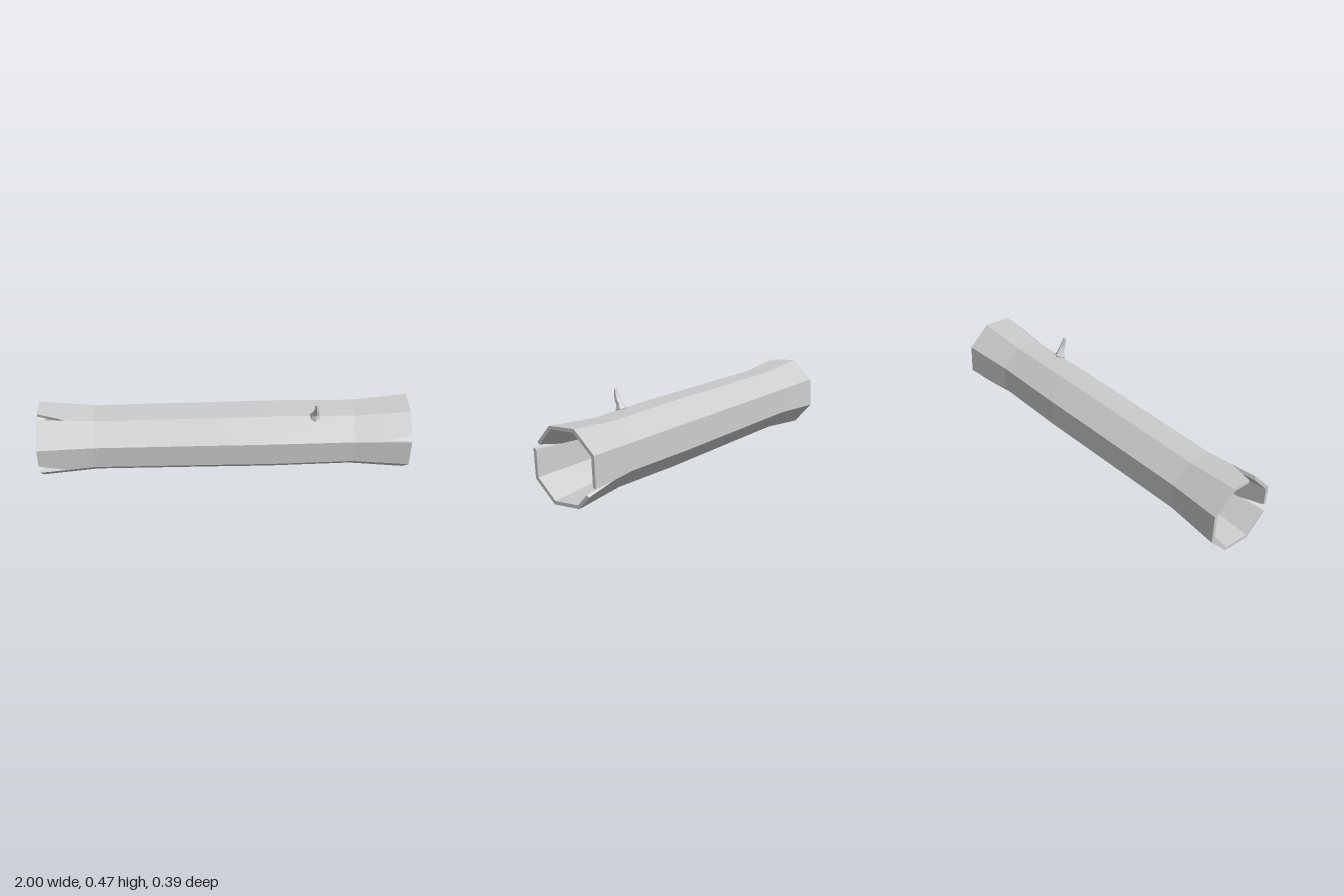
import * as THREE from 'three';

const CENTRE_Y = 0.199;
// Corners of the eight-sided end ring, as [z, y]
const RING = [[0.088, 0.387], [-0.069, 0.397], [-0.19, 0.29], [-0.197, 0.13],
  [-0.09, 0.011], [0.07, 0.001], [0.189, 0.108], [0.198, 0.262]];
// Stations along the trunk: [x, outer scale, inner scale]
const STATIONS = [[-1, 1, 0.91], [-0.85, 0.935, 0.83], [-0.7, 0.87, 0.755], [0, 0.89, 0.775],
  [0.25, 0.9, 0.785], [0.7, 0.87, 0.755], [0.85, 0.935, 0.83], [1, 1, 0.91]];
// Splits in the ends: the side that starts at a corner is cut back by a fraction
const SPLITS = [{ side: 0, station: 0, cut: 0.3 }, { side: 6, station: 0, cut: 0.3 },
  { side: 7, station: 7, cut: 0.25 }, { side: 3, station: 7, cut: 0.42 }];

function meshFromQuads(quads, name, material) {
  const pos = [];
  for (const [a, b, c, d] of quads) pos.push(...a, ...b, ...c, ...a, ...c, ...d);
  const geometry = new THREE.BufferGeometry();
  geometry.setAttribute('position', new THREE.Float32BufferAttribute(pos, 3));
  geometry.computeVertexNormals();
  const mesh = new THREE.Mesh(geometry, material);
  mesh.name = name;
  return mesh;
}

// Point on one side of the trunk; t runs from its first corner to the next
function trunkPoint(side, t, station, inner) {
  const a = RING[side], b = RING[(side + 1) % 8];
  const [x, outerScale, innerScale] = STATIONS[station];
  const s = inner ? innerScale : outerScale;
  return [x, CENTRE_Y + (a[1] + (b[1] - a[1]) * t - CENTRE_Y) * s, (a[0] + (b[0] - a[0]) * t) * s];
}

function buildTrunk(material) {
  const quads = [];
  const last = STATIONS.length - 1;
  for (let side = 0; side < 8; side++) {
    const start = (k) => SPLITS.find((s) => s.side === side && s.station === k)?.cut ?? 0;
    const O = (k, end) => trunkPoint(side, end ? 1 : start(k), k, false);
    const I = (k, end) => trunkPoint(side, end ? 1 : start(k), k, true);
    // Outer bark and hollow inside
    for (let k = 0; k < last; k++) {
      quads.push([O(k, 0), O(k + 1, 0), O(k + 1, 1), O(k, 1)]);
      quads.push([I(k, 0), I(k, 1), I(k + 1, 1), I(k + 1, 0)]);
    }
    // End rims
    quads.push([O(last, 0), I(last, 0), I(last, 1), O(last, 1)]);
    quads.push([O(0, 0), O(0, 1), I(0, 1), I(0, 0)]);
    // Walls on both sides of each split
    for (const split of SPLITS) {
      const k = split.station === 0 ? 0 : last - 1;
      if (split.side === side) quads.push([O(k, 0), I(k, 0), I(k + 1, 0), O(k + 1, 0)]);
      if (split.side === (side + 1) % 8) quads.push([O(k, 1), O(k + 1, 1), I(k + 1, 1), I(k, 1)]);
    }
  }
  return meshFromQuads(quads, 'hollowTrunk', material);
}

// Small bent twig: tapered six-sided rings, [x, y, z, radius]
function buildTwig(material) {
  const path = [[0.488, 0.328, 0.064, 0.011], [0.487, 0.366, 0.082, 0.03], [0.488, 0.388, 0.088, 0.019],
    [0.491, 0.416, 0.103, 0.014], [0.488, 0.446, 0.113, 0.011], [0.486, 0.467, 0.117, 0.008]];
  const n = 6;
  const point = (k, j) => {
    const [x, y, z, r] = path[k];
    const a = (j / n) * Math.PI * 2;
    return [x + Math.sin(a) * r, y - Math.cos(a) * r * 0.35, z + Math.cos(a) * r];
  };
  const quads = [];
  for (let j = 0; j < n; j++) {
    for (let k = 0; k < path.length - 1; k++) {
      quads.push([point(k, j), point(k, j + 1), point(k + 1, j + 1), point(k + 1, j)]);
    }
    // Caps
    const tip = path[path.length - 1].slice(0, 3), root = path[0].slice(0, 3);
    const e = path.length - 1;
    quads.push([tip, point(e, j), point(e, j + 1), tip], [root, point(0, j + 1), point(0, j), root]);
  }
  return meshFromQuads(quads, 'twig', material);
}

export function createModel() {
  const material = new THREE.MeshStandardMaterial({ color: 0xcccccc, flatShading: true });
  const group = new THREE.Group();
  group.name = 'hollowLog';
  group.add(buildTrunk(material), buildTwig(material));
  return group;
}
